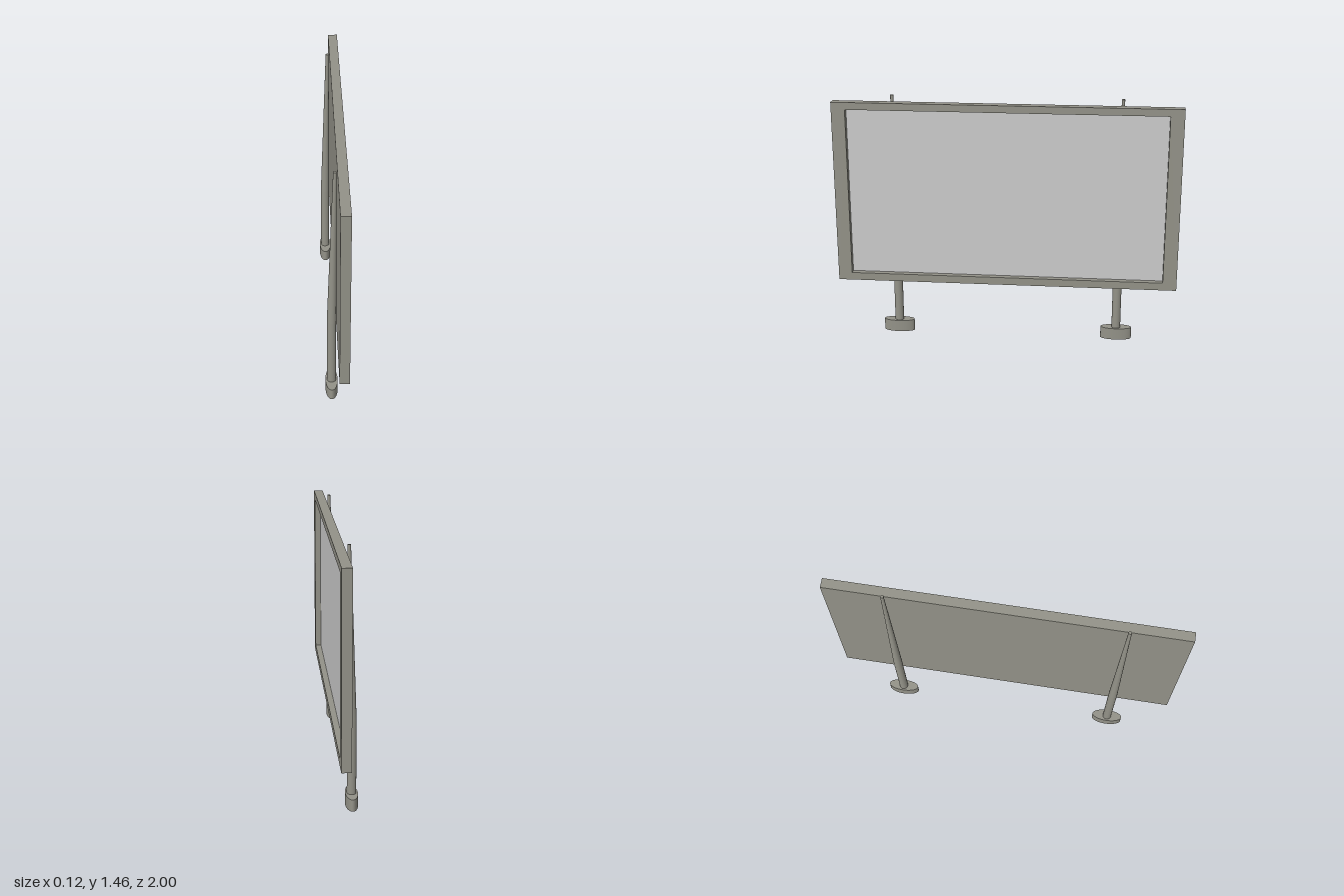
import * as THREE from 'three';

const frameMat = new THREE.MeshStandardMaterial({ color: 0x939288 });
const screenMat = new THREE.MeshStandardMaterial({ color: 0xcccccc });

function rectPath(path, w, y0, y1) {
  path.moveTo(-w, y0);
  path.lineTo(w, y0);
  path.lineTo(w, y1);
  path.lineTo(-w, y1);
  path.closePath();
  return path;
}

function addMesh(parent, name, geometry, material) {
  const mesh = new THREE.Mesh(geometry, material);
  mesh.name = name;
  parent.add(mesh);
  return mesh;
}

// Board facing +x: a rim around a recessed display area
function createBoard() {
  const board = new THREE.Group();
  board.name = 'board';
  const xBack = 0.005, xScreen = 0.025, xFront = 0.06;
  const outline = rectPath(new THREE.Shape(), 1, 0.35, 1.43);
  outline.holes.push(rectPath(new THREE.Path(), 0.92, 0.395, 1.388));
  const rim = new THREE.ExtrudeGeometry(outline, { depth: xFront - xBack, bevelEnabled: false });
  rim.rotateY(Math.PI / 2).translate(xBack, 0, 0);
  addMesh(board, 'frame', rim, frameMat);

  // Backing closes the rear of the opening
  const backing = new THREE.PlaneGeometry(1.84, 0.993).rotateY(-Math.PI / 2);
  addMesh(board, 'backing', backing, frameMat).position.set(xBack, 0.8915, 0);
  const screen = new THREE.PlaneGeometry(1.84, 0.993).rotateY(Math.PI / 2);
  addMesh(board, 'displaySurface', screen, screenMat).position.set(xScreen, 0.8915, 0);
  return board;
}

// Post whose upper part narrows while leaning towards the board
function createPost(z) {
  const post = new THREE.Group();
  post.name = 'post';
  const r = 0.026, rTop = 0.009, xc = -0.027, split = 0.5, top = 1.465;
  const base = new THREE.CylinderGeometry(1, 1, 0.07, 32).scale(0.035, 1, 0.092);
  addMesh(post, 'foot', base, frameMat).position.set(xc, 0.035, 0);

  const lower = new THREE.CylinderGeometry(r, r, split - 0.07, 24, 1, true);
  addMesh(post, 'lowerPole', lower, frameMat).position.set(xc, (split + 0.07) / 2, 0);

  const h = top - split;
  const upper = new THREE.CylinderGeometry(rTop, r, h, 24);
  upper.translate(0, h / 2, 0);
  const p = upper.attributes.position;
  for (let i = 0; i < p.count; i++) {
    p.setX(i, p.getX(i) + (r - rTop) * p.getY(i) / h);
  }
  addMesh(post, 'upperPole', upper, frameMat).position.set(xc, split, 0);
  post.position.z = z;
  return post;
}

export function createModel() {
  const model = new THREE.Group();
  model.name = 'billboard';
  model.add(createBoard());
  for (const z of [-0.658, 0.658]) model.add(createPost(z));
  return model;
}
